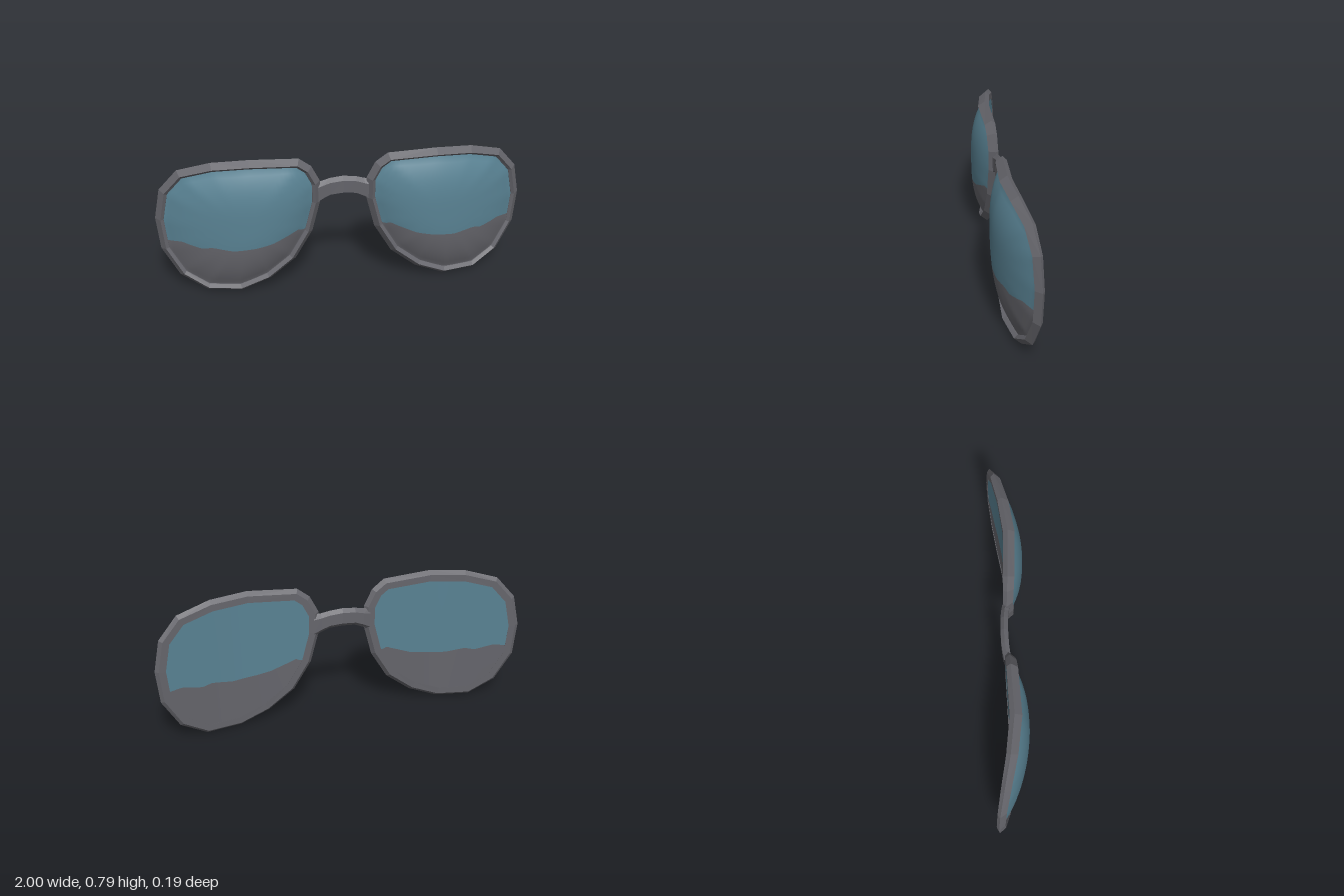
import * as THREE from 'three';

// Outer rim outline of the left lens, clockwise seen from the front
const OUTLINE = [
  [0.235, 0.77], [0.495, 0.785], [0.69, 0.772], [0.865, 0.725], [0.965, 0.61], [1, 0.44],
  [0.985, 0.255], [0.895, 0.09], [0.755, 0], [0.565, 0], [0.405, 0.065], [0.265, 0.175],
  [0.17, 0.335], [0.125, 0.51], [0.125, 0.63], [0.17, 0.72],
];
// Rim cross-section: inward offset, depth
const SECTION = [[0, -0.006], [0.02, -0.03], [0.056, -0.031], [0.044, 0.012], [0.028, 0.032]];
// Upper edge of the grey lens zone
const TIDE = [
  [0.15, 0.36], [0.235, 0.36], [0.255, 0.37], [0.28, 0.358], [0.34, 0.335], [0.39, 0.315], [0.47, 0.3],
  [0.6, 0.288], [0.71, 0.307], [0.765, 0.295], [0.82, 0.31], [0.87, 0.323], [0.98, 0.308],
];
const CENTER = [0.53, 0.43];

// Wrap curve of the frame and its slimming toward the temples
const wrapZ = (x) => 0.06 - Math.hypot(0.04, (x > 0.48 ? 0.25 : 0.12) * (x - 0.48));
const slim = (x) => 1 - 0.35 * ((x - 0.48) / 0.52) ** 2;

// Moves a clockwise polygon inward with mitred corners
function inset(poly, d) {
  const n = poly.length;
  const normal = (a, b) => {
    const l = Math.hypot(b[0] - a[0], b[1] - a[1]);
    return [(b[1] - a[1]) / l, (a[0] - b[0]) / l];
  };
  return poly.map((p, i) => {
    const a = normal(poly[(i + n - 1) % n], p), b = normal(p, poly[(i + 1) % n]);
    const k = d / (1 + a[0] * b[0] + a[1] * b[1]);
    return [p[0] + k * (a[0] + b[0]), p[1] + k * (a[1] + b[1])];
  });
}

// Skins a list of equally long point rows
function loft(rows, closeI, closeJ) {
  const n = rows.length, m = rows[0].length, index = [];
  for (let i = 0; i < (closeI ? n : n - 1); i++) {
    for (let j = 0; j < (closeJ ? m : m - 1); j++) {
      const i2 = (i + 1) % n, j2 = (j + 1) % m;
      const a = i * m + j, b = i2 * m + j, c = i2 * m + j2, d = i * m + j2;
      index.push(a, b, c, a, c, d);
    }
  }
  const geo = new THREE.BufferGeometry();
  geo.setAttribute('position', new THREE.Float32BufferAttribute(rows.flat(2), 3));
  geo.setIndex(index);
  return geo;
}

function facet(geo) {
  const flat = geo.toNonIndexed();
  flat.computeVertexNormals();
  return flat;
}

// Mirrors an indexed geometry across x = 0, keeping faces outward
function mirror(geo) {
  const g = geo.clone().scale(-1, 1, 1);
  g.setIndex(Array.from(geo.index.array).reverse());
  return g;
}

function rimGeometry() {
  const loops = SECTION.map(([d]) => inset(OUTLINE, d));
  const rows = OUTLINE.map((_, i) => SECTION.map(([, z], j) => {
    const [x, y] = loops[j][i];
    return [x, y, wrapZ(x) + z * slim(x)];
  }));
  return loft(rows, true, true);
}

// Lens faces: a domed front and a gently wrapped back
const FRONT = inset(OUTLINE, 0.039);
const BACK = inset(OUTLINE, 0.05);

function frontZ(x, y) {
  let r = 0; // 0 at the centre, 1 on the lens edge
  FRONT.forEach((a, i) => {
    const b = FRONT[(i + 1) % FRONT.length];
    const nx = a[1] - b[1], ny = b[0] - a[0];
    const num = nx * (x - CENTER[0]) + ny * (y - CENTER[1]);
    r = Math.max(r, num / (nx * (a[0] - CENTER[0]) + ny * (a[1] - CENTER[1])));
  });
  return wrapZ(x) + 0.004 + 0.07 * (1 - Math.min(r, 1) ** 3);
}

const backZ = (x) => wrapZ(x) - 0.029 * slim(x);

function heightsAt(poly, x) {
  const ys = [];
  poly.forEach((a, i) => {
    const b = poly[(i + 1) % poly.length];
    if (x < Math.min(a[0], b[0]) || x > Math.max(a[0], b[0])) return;
    if (a[0] === b[0]) ys.push(a[1], b[1]);
    else ys.push(a[1] + (b[1] - a[1]) * (x - a[0]) / (b[0] - a[0]));
  });
  return [Math.min(...ys), Math.max(...ys)];
}

function tideAt(x) {
  const i = Math.max(1, TIDE.findIndex((p) => p[0] >= x));
  const a = TIDE[i - 1], b = TIDE[i];
  return a[1] + (b[1] - a[1]) * (x - a[0]) / (b[0] - a[0]);
}

// One colour zone of a lens face, built in upright columns
function lensGeometry(poly, zAt, facing, upper) {
  const corners = poly.map((p) => p[0]);
  const x0 = Math.min(...corners), x1 = Math.max(...corners);
  const xs = [...corners];
  for (let i = 1; i < 36; i++) xs.push(x0 + (x1 - x0) * i / 36);
  xs.sort((a, b) => a - b);
  const rows = xs.filter((x, i) => i === 0 || x - xs[i - 1] > 1e-5).map((x) => {
    const [low, high] = heightsAt(poly, x);
    const split = Math.min(high, Math.max(low, tideAt(x)));
    const from = upper ? split : low, to = upper ? high : split;
    return Array.from({ length: 13 }, (_, j) => {
      const y = from + (to - from) * j / 12;
      return [x, y, zAt(x, y)];
    });
  });
  const geo = loft(rows, false, false);
  if (facing < 0) geo.setIndex(Array.from(geo.index.array).reverse());
  // Smooth normals from the slope of the face
  const e = 0.03;
  const normals = rows.flat().flatMap(([x, y]) => new THREE.Vector3(
    (zAt(x - e, y) - zAt(x + e, y)) / (2 * e),
    (zAt(x, y - e) - zAt(x, y + e)) / (2 * e), 1).normalize().multiplyScalar(facing).toArray());
  geo.setAttribute('normal', new THREE.Float32BufferAttribute(normals, 3));
  return geo;
}

function bridgeGeometry() {
  // Stations: x, middle height, half height, depth position
  const half = [[0, 0.589, 0.051, -0.019], [0.07, 0.583, 0.05, -0.017], [0.115, 0.567, 0.055, -0.012], [0.155, 0.55, 0.066, -0.004]];
  const stations = [...half.slice(1).reverse().map(([x, ...r]) => [-x, ...r]), ...half];
  const ring = [[1, -0.003], [0.6, -0.021], [-0.6, -0.021], [-1, -0.003], [-0.8, 0.017], [0.6, 0.019]];
  return loft(stations.map(([x, y, h, z]) => ring.map(([v, w]) => [x, y + v * h, z + w])), false, true);
}

export function createModel() {
  const grey = new THREE.MeshStandardMaterial({ color: 0x65656b });
  grey.name = 'frameGrey';
  const blue = new THREE.MeshStandardMaterial({ color: 0x598293 });
  blue.name = 'lensBlue';

  const model = new THREE.Group();
  model.name = 'sunglasses';
  const add = (parent, name, geo, mat) => {
    const mesh = new THREE.Mesh(geo, mat);
    mesh.name = name;
    parent.add(mesh);
  };

  const rim = rimGeometry();
  const lenses = [
    ['LensFrontUpper', lensGeometry(FRONT, frontZ, 1, true), blue],
    ['LensFrontLower', lensGeometry(FRONT, frontZ, 1, false), grey],
    ['LensBackUpper', lensGeometry(BACK, backZ, -1, true), blue],
    ['LensBackLower', lensGeometry(BACK, backZ, -1, false), grey],
  ];
  for (const side of ['left', 'right']) {
    const place = (g) => (side === 'left' ? g : mirror(g));
    const eye = new THREE.Group();
    eye.name = side + 'Eyepiece';
    add(eye, side + 'Rim', facet(place(rim)), grey);
    for (const [name, geo, mat] of lenses) add(eye, side + name, place(geo), mat);
    model.add(eye);
  }
  add(model, 'bridge', facet(bridgeGeometry()), grey);
  return model;
}
